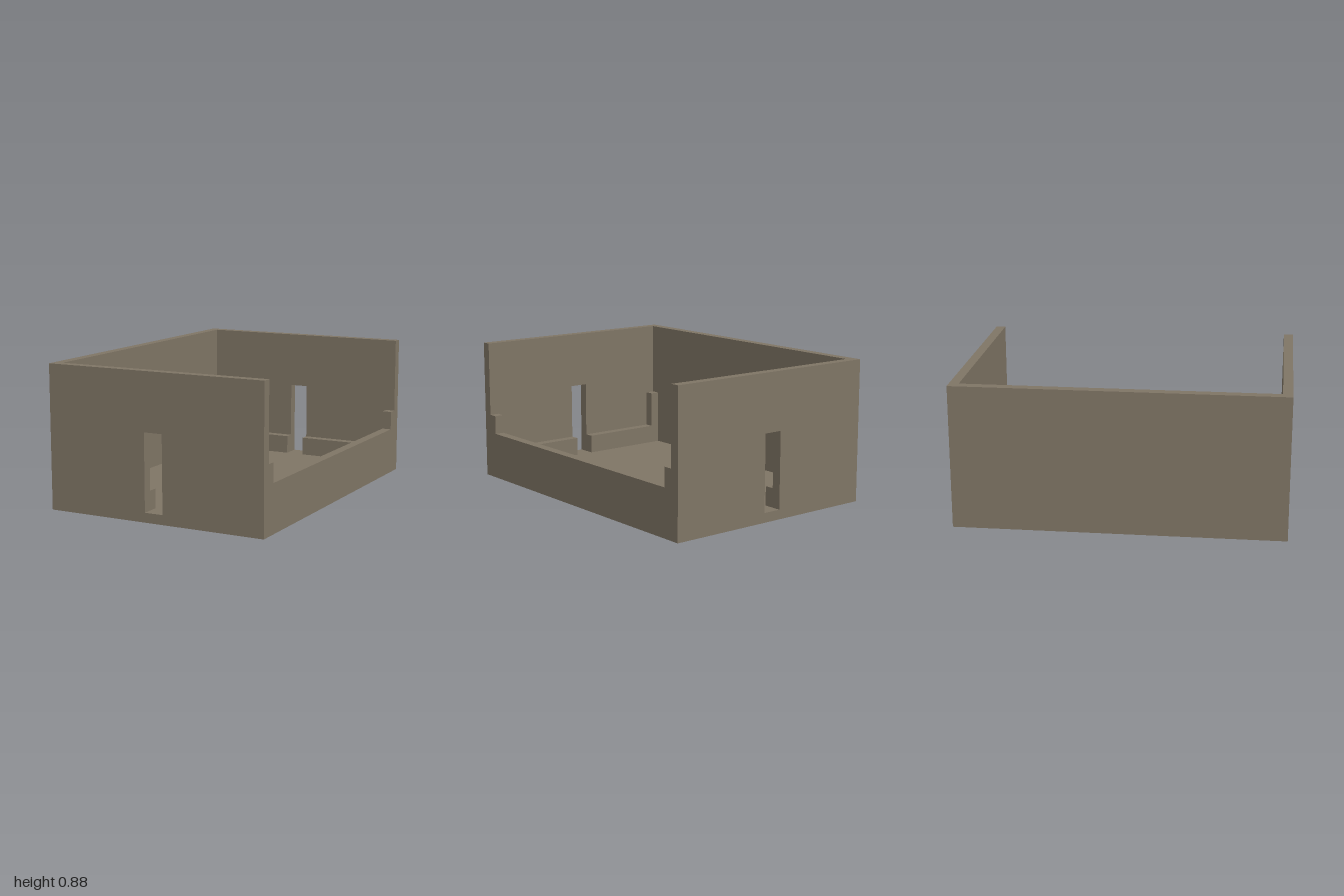
import * as THREE from 'three';

// One wall thickness; every dimension below is a whole number of these.
const U = 2 / 34;

export function createModel() {
  const model = new THREE.Group();
  model.name = 'openTray';
  const taupe = new THREE.MeshStandardMaterial({ color: 0x7f7565 });
  taupe.name = 'taupe';

  // Box given by its min and max corners in units
  const box = (name, x0, x1, y0, y1, z0, z1) => {
    const mesh = new THREE.Mesh(
      new THREE.BoxGeometry((x1 - x0) * U, (y1 - y0) * U, (z1 - z0) * U), taupe);
    mesh.position.set((x0 + x1) / 2 * U, (y0 + y1) / 2 * U, (z0 + z1) / 2 * U);
    mesh.name = name;
    model.add(mesh);
  };

  const rect = (path, x0, x1, y0, y1) => {
    path.moveTo(x0 * U, y0 * U);
    path.lineTo(x1 * U, y0 * U);
    path.lineTo(x1 * U, y1 * U);
    path.lineTo(x0 * U, y1 * U);
    path.closePath();
    return path;
  };

  // Floor, tall side wall and low open side
  box('floor', -11, 11, 0, 1, -16, 16);
  box('tallSideWall', -12, -11, 0, 15, -16, 16);
  box('lowSideWall', 11, 12, 0, 5, -16, 16);

  // End walls with a vertical slot through each
  const endShape = rect(new THREE.Shape(), -12, 12, 0, 15);
  endShape.holes.push(rect(new THREE.Path(), -1, 1, 1, 9));
  const endGeometry = new THREE.ExtrudeGeometry(endShape, { depth: U, bevelEnabled: false });

  for (const [end, s] of [['front', 1], ['back', -1]]) {
    const wall = new THREE.Mesh(endGeometry, taupe);
    wall.name = end + 'Wall';
    wall.position.z = (s > 0 ? 16 : -17) * U;
    model.add(wall);

    // Ledges either side of the slot, and corner posts
    const z0 = s > 0 ? 15 : -16;
    box(end + 'LedgeRight', -10, -1, 1, 3, z0, z0 + 1);
    box(end + 'LedgeLeft', 1, 11, 1, 3, z0, z0 + 1);
    box(end + 'PostRight', -11, -10, 1, 7, z0, z0 + 1);
    box(end + 'PostLeft', 11, 12, 5, 7, z0, z0 + 1);
  }
  return model;
}
